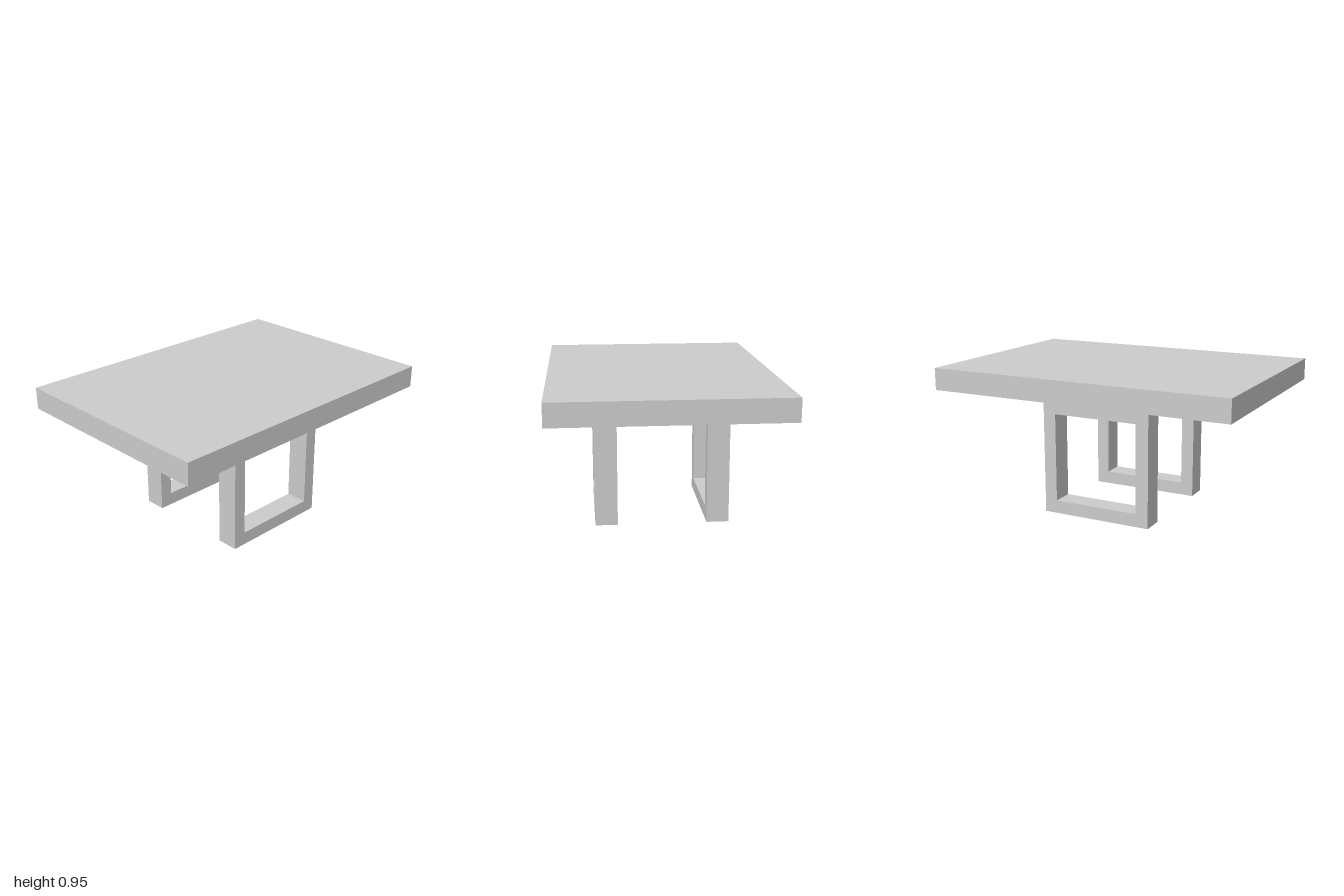
import * as THREE from 'three';

export function createModel() {
  const model = new THREE.Group();
  model.name = 'table';
  const material = new THREE.MeshStandardMaterial({ color: 0xcccccc, flatShading: true });

  const add = (name, geometry, x, y, z) => {
    const mesh = new THREE.Mesh(geometry, material);
    mesh.name = name;
    mesh.position.set(x, y, z);
    model.add(mesh);
  };

  const legHeight = 0.807, topThickness = 0.143;
  const outer = 0.371, inner = 0.286; // half widths of the leg frame and its opening
  const openBottom = 0.086, openTop = 0.664;
  const frameDepth = 0.143, frameInnerZ = 0.286;

  // Thick slab on top
  add('tabletop', new THREE.BoxGeometry(2, topThickness, 1.428), 0, legHeight + topThickness / 2, 0);

  // Rectangular leg frames with an opening
  const rectangle = (Type, halfWidth, bottom, top) => new Type([
    new THREE.Vector2(-halfWidth, bottom),
    new THREE.Vector2(halfWidth, bottom),
    new THREE.Vector2(halfWidth, top),
    new THREE.Vector2(-halfWidth, top),
  ]);
  const frame = rectangle(THREE.Shape, outer, 0, legHeight);
  frame.holes.push(rectangle(THREE.Path, inner, openBottom, openTop));
  const frameGeometry = new THREE.ExtrudeGeometry(frame, { depth: frameDepth, bevelEnabled: false });
  add('frontLegFrame', frameGeometry, 0, 0, frameInnerZ);
  add('backLegFrame', frameGeometry, 0, 0, -frameInnerZ - frameDepth);

  // Beam under the top joining the two frames
  add('crossBeam', new THREE.BoxGeometry(inner * 2, legHeight - openTop, frameInnerZ * 2),
    0, (legHeight + openTop) / 2, 0);

  return model;
}
